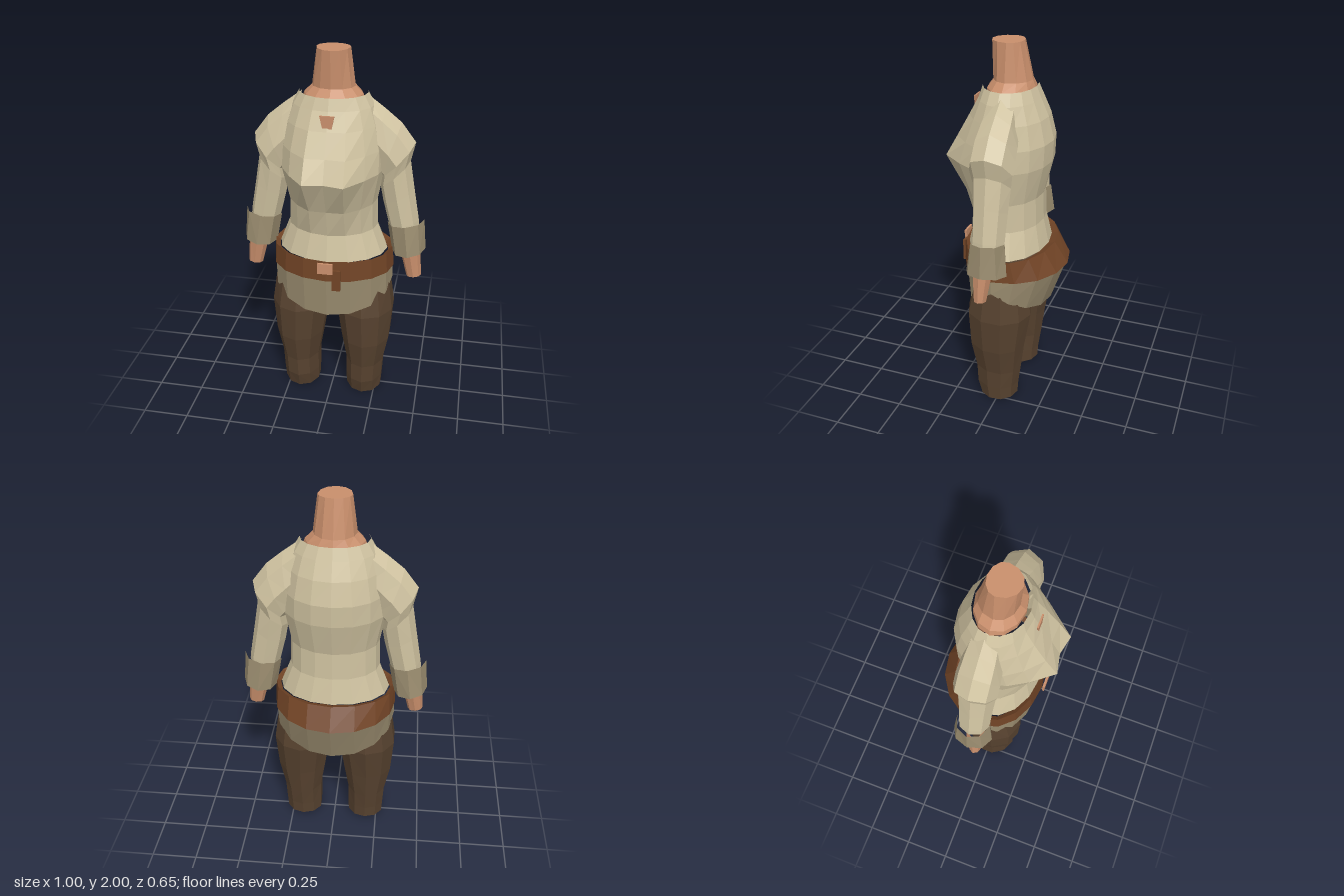
import * as THREE from 'three';

const mat = (name, color) => {
  const m = new THREE.MeshStandardMaterial({ color });
  m.name = name;
  return m;
};

// Faceted skin over equal-length rings of [x, y, z], listed from top to bottom
function loft(rings, capTop = false, capBottom = false) {
  const n = rings[0].length;
  const pos = [];
  const tri = (a, b, c) => pos.push(...a, ...b, ...c);
  const middle = (r) => [0, 1, 2].map((k) => r.reduce((s, p) => s + p[k], 0) / n);
  const first = rings[0], last = rings[rings.length - 1];
  for (let j = 0; j < n; j++) {
    const k = (j + 1) % n;
    for (let i = 0; i < rings.length - 1; i++) {
      const a = rings[i], b = rings[i + 1];
      tri(a[j], b[j], a[k]);
      tri(a[k], b[j], b[k]);
    }
    if (capTop) tri(middle(first), first[j], first[k]);
    if (capBottom) tri(middle(last), last[k], last[j]);
  }
  const g = new THREE.BufferGeometry();
  g.setAttribute('position', new THREE.Float32BufferAttribute(pos, 3));
  g.computeVertexNormals();
  return g;
}

// Level ring: half width rx, front reach zf, back reach zb, centred on cx
function ring(n, y, rx, zf, zb, cx = 0) {
  return Array.from({ length: n }, (_, j) => {
    const t = (j / n) * Math.PI * 2, c = Math.cos(t);
    return [cx + rx * Math.sin(t), y, c * (c > 0 ? zf : zb)];
  });
}

// Tilted ring for a limb, from its outer to its inner point in the xy plane
function limbRing(n, ox, oy, ix, iy, hz, cz = -0.01) {
  return Array.from({ length: n }, (_, j) => {
    const t = (j / n) * Math.PI * 2, c = Math.cos(t) / 2;
    return [(ox + ix) / 2 + c * (ox - ix), (oy + iy) / 2 + c * (oy - iy), cz - hz * Math.sin(t)];
  });
}

export function createModel() {
  const skin = mat('skin', 0xc98f6c);
  const cloth = mat('pale cloth', 0xcfc2a0);
  const trim = mat('dark cloth', 0x9a8c6f);
  const leather = mat('belt leather', 0x714426);
  const wool = mat('trouser wool', 0x57422f);

  const model = new THREE.Group();
  model.name = 'clothedBody';
  const add = (name, geometry, material, parent = model) => {
    const m = new THREE.Mesh(geometry, material);
    m.name = name;
    parent.add(m);
    return m;
  };

  // Neck, spreading out inside the collar
  const neck = [
    [2.0, 0.085, 0.1, 0.065],
    [1.81, 0.11, 0.09, 0.11],
    [1.77, 0.15, 0.12, 0.125],
    [1.74, 0.16, 0.12, 0.125],
  ].map((r) => ring(12, ...r));
  add('neck', loft(neck, true), skin);

  // Tunic body, with the chest pushed forward on each side of the middle
  const torso = [
    [1.78, 0.175, 0.14, 0.13, 0],
    [1.72, 0.21, 0.16, 0.155, 0],
    [1.63, 0.24, 0.2, 0.195, 0.01],
    [1.51, 0.265, 0.255, 0.225, 0.025],
    [1.395, 0.27, 0.305, 0.22, 0.045],
    [1.21, 0.235, 0.225, 0.175, 0.015],
    [1.06, 0.24, 0.19, 0.18, 0],
    [0.92, 0.295, 0.22, 0.21, 0],
  ].map(([y, rx, zf, zb, bust]) => {
    const r = ring(16, y, rx, zf, zb);
    r[1][2] += bust;
    r[15][2] += bust;
    return r;
  });
  add('tunicBody', loft(torso), cloth);

  // Tunic skirt, its hem low at front and back and high at the sides
  const hem = (rx, zf, zb, lift) =>
    ring(16, 0, rx, zf, zb).map(([x, , z], j) =>
      [x, 0.74 + lift - 0.155 * Math.abs(Math.cos((j / 16) * Math.PI * 2)), z]);
  const skirt = [
    ring(16, 0.925, 0.32, 0.23, 0.24),
    ring(16, 0.82, 0.328, 0.235, 0.31),
    hem(0.328, 0.215, 0.23, 0),
    hem(0.315, 0.203, 0.218, 0.005),
  ];
  add('tunicSkirt', loft(skirt), trim);

  // Belt with buckle and hanging strap end
  const belt = [
    [0.91, 0.3, 0.21, 0.2],
    [0.93, 0.325, 0.235, 0.245],
    [0.815, 0.332, 0.243, 0.32],
    [0.82, 0.315, 0.225, 0.3],
  ].map((r) => ring(16, ...r));
  add('belt', loft(belt), leather);
  add('buckle', new THREE.BoxGeometry(0.08, 0.06, 0.012), skin).position.set(0, 0.9, 0.258);
  add('strapEnd', new THREE.BoxGeometry(0.045, 0.12, 0.012), leather).position.set(0.057, 0.83, 0.252);

  // Small opening below the collar
  const notch = new THREE.Shape([
    new THREE.Vector2(-0.037, 1.708), new THREE.Vector2(-0.02, 1.63),
    new THREE.Vector2(0.02, 1.63), new THREE.Vector2(0.037, 1.708),
  ]);
  add('collarNotch', new THREE.ExtrudeGeometry(notch, { depth: 0.008, bevelEnabled: false }), skin)
    .position.z = 0.184;

  // Hips between the legs
  const hips = [
    [0.75, 0.28, 0.16, 0.16],
    [0.61, 0.17, 0.14, 0.14],
    [0.515, 0.02, 0.05, 0.05],
  ].map((r) => ring(12, ...r));
  add('hips', loft(hips, false, true), wool);

  for (const side of [1, -1]) {
    const half = new THREE.Group();
    half.name = side > 0 ? 'leftLimbs' : 'rightLimbs';
    half.scale.x = side;
    model.add(half);

    // Trouser leg
    const leg = [
      [0.8, 0.12, 0.11, 0.11, 0.18],
      [0.72, 0.145, 0.15, 0.15, 0.178],
      [0.56, 0.163, 0.185, 0.172, 0.183],
      [0.36, 0.14, 0.175, 0.14, 0.19],
      [0.2, 0.11, 0.145, 0.12, 0.188],
      [0.09, 0.107, 0.142, 0.105, 0.185],
      [0.01, 0.103, 0.115, 0.1, 0.184],
    ].map((r) => ring(10, ...r));
    for (const p of leg[leg.length - 1]) p[1] = 0.01 - p[2] * 0.08;
    add('trouserLeg', loft(leg, false, true), wool, half);

    // Sleeve from the collar over the shoulder to the forearm
    const sleeve = [
      [0.165, 1.77, 0.19, 1.42, 0.09],
      [0.26, 1.7, 0.22, 1.38, 0.105],
      [0.345, 1.63, 0.24, 1.35, 0.112],
      [0.42, 1.53, 0.25, 1.34, 0.112],
      [0.398, 1.43, 0.245, 1.29, 0.1],
      [0.425, 1.27, 0.262, 1.2, 0.092],
      [0.455, 1.1, 0.295, 1.07, 0.086],
      [0.46, 1.06, 0.3, 1.04, 0.084],
    ].map((r) => limbRing(8, ...r));
    add('sleeve', loft(sleeve), cloth, half);

    // Cuff
    const cuff = [
      [0.485, 1.1, 0.29, 1.07, 0.09],
      [0.5, 0.93, 0.32, 0.905, 0.108],
    ].map((r) => limbRing(8, ...r));
    add('cuff', loft(cuff), trim, half);

    // Wrist stump
    const wrist = [
      [0.46, 1.03, 0.345, 1.02, 0.05, 0.005],
      [0.475, 0.92, 0.37, 0.9, 0.05, 0.008],
      [0.485, 0.775, 0.405, 0.765, 0.032, 0.012],
    ].map((r) => limbRing(8, ...r));
    add('wrist', loft(wrist, false, true), skin, half);
  }
  return model;
}
